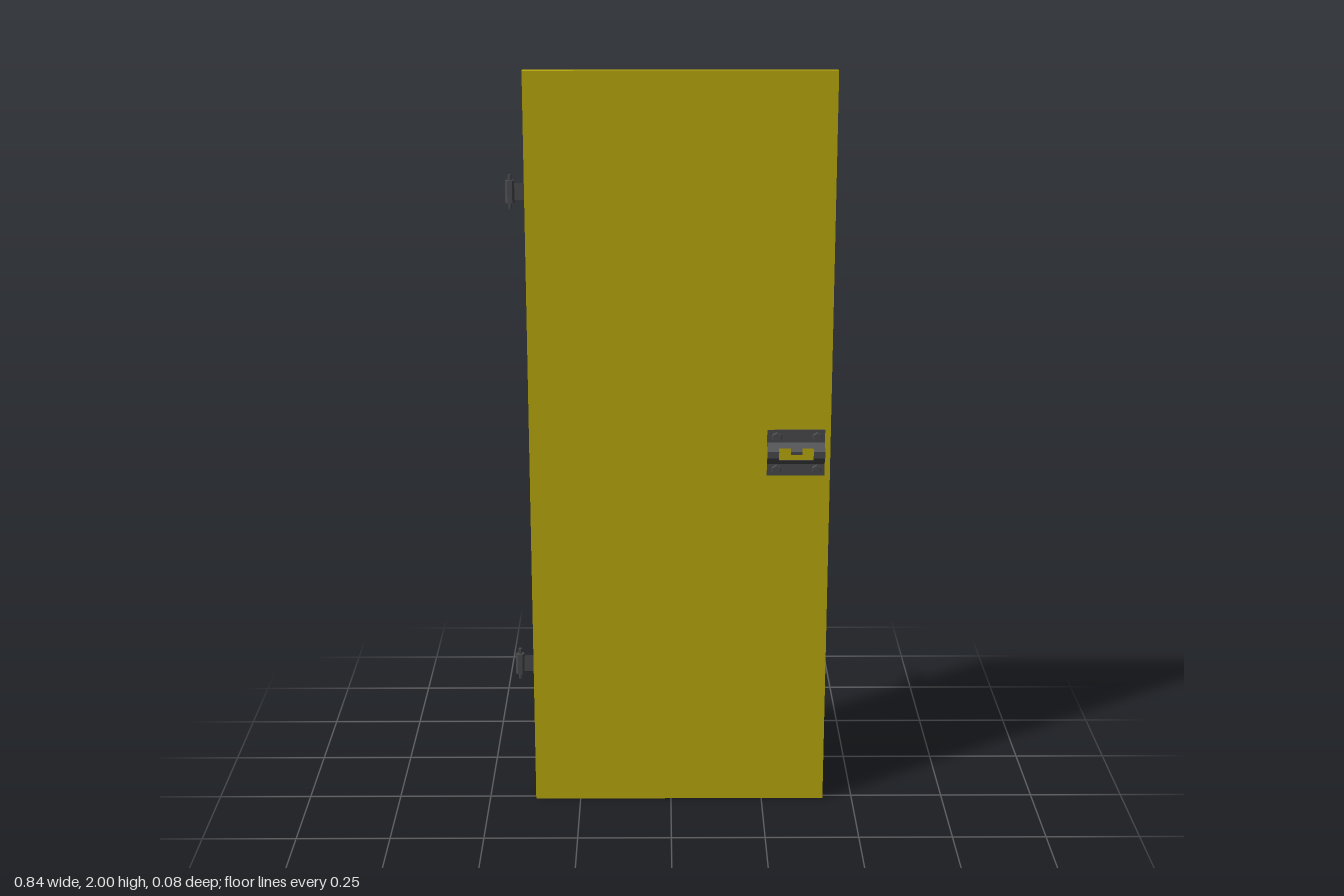
import * as THREE from 'three';

const paint = new THREE.MeshStandardMaterial({ color: 0xb8a80c });
const metal = new THREE.MeshStandardMaterial({ color: 0x48494b });
const BACK = -0.007, FRONT = 0.016;

function add(parent, name, geometry, x, y, z, material = metal) {
  const mesh = new THREE.Mesh(geometry, material);
  mesh.name = name;
  mesh.position.set(x, y, z);
  parent.add(mesh);
  return mesh;
}

function box(parent, name, x0, x1, y0, y1, z0, z1, material) {
  return add(parent, name, new THREE.BoxGeometry(x1 - x0, y1 - y0, z1 - z0),
    (x0 + x1) / 2, (y0 + y1) / 2, (z0 + z1) / 2, material);
}

// Bent metal strip: outer profile given as [height off the door, y], swept from x0 to x1
function strip(parent, name, profile, x0, x1, thickness, y, z, side) {
  const outer = profile.map(([h, v]) => new THREE.Vector2(h * side, v));
  const inner = profile.map(([h, v]) => new THREE.Vector2((h - thickness) * side, v)).reverse();
  const geometry = new THREE.ExtrudeGeometry(new THREE.Shape([...outer, ...inner]),
    { depth: x1 - x0, bevelEnabled: false });
  geometry.rotateY(-Math.PI / 2);
  return add(parent, name, geometry, x1, y, z);
}

// Hexagonal bolt head standing on the door face
function bolt(parent, x, y, z, side, radius = 0.011, height = 0.007) {
  const geometry = new THREE.CylinderGeometry(radius * 0.85, radius, height, 6).toNonIndexed();
  geometry.computeVertexNormals();
  geometry.rotateX(side * Math.PI / 2);
  add(parent, 'bolt', geometry, x, y, z + side * height / 2);
}

function hexRod(parent, name, radius, height, x, y, z) {
  const geometry = new THREE.CylinderGeometry(radius, radius, height, 6).toNonIndexed();
  geometry.computeVertexNormals();
  geometry.rotateY(Math.PI / 6);
  add(parent, name, geometry, x, y, z);
}

function createHinge(y) {
  const hinge = new THREE.Group();
  hinge.name = 'hinge';
  hinge.position.y = y;
  // Clamp plate with a raised middle over the tongue
  strip(hinge, 'hingePlate', [[0.003, -0.061], [0.003, -0.036], [0.013, -0.026],
    [0.013, 0.026], [0.003, 0.036], [0.003, 0.061]], -0.369, -0.327, 0.003, 0, BACK, -1);
  for (const v of [-0.048, 0.048]) bolt(hinge, -0.348, v, BACK - 0.003, -1, 0.011, 0.006);
  bolt(hinge, -0.348, 0, BACK - 0.013, -1, 0.012, 0.005);
  // Tongue reaching out to the pin
  box(hinge, 'hingeTongue', -0.41, -0.34, -0.022, 0.022, -0.021, -0.018);
  hexRod(hinge, 'hingeBarrel', 0.0125, 0.058, -0.411, 0, -0.02);
  hexRod(hinge, 'hingePin', 0.005, 0.088, -0.411, 0, -0.02);
  return hinge;
}

function createHandle() {
  const handle = new THREE.Group();
  handle.name = 'handle';
  strip(handle, 'handleBar', [[0.003, -0.095], [0.003, -0.076], [0.033, -0.062],
    [0.033, 0.062], [0.003, 0.076], [0.003, 0.095]], 0.345, 0.369, 0.005, 1, BACK, -1);
  for (const v of [0.914, 1.086]) bolt(handle, 0.357, v, BACK - 0.003, -1, 0.009, 0.005);
  return handle;
}

function createLatch() {
  const latch = new THREE.Group();
  latch.name = 'latch';
  const t = 0.004;
  // Flanges with their sloping shoulders
  strip(latch, 'lowerFlange', [[t, 0.94], [t, 0.972], [0.015, 0.985]], 0.253, 0.405, t, 0, FRONT, 1);
  strip(latch, 'upperFlange', [[0.015, 1.018], [t, 1.031], [t, 1.065]], 0.253, 0.405, t, 0, FRONT, 1);
  // Bridges either side of the slot
  const arch = [[0.015, 0.985], [0.022, 0.993], [0.022, 1.01], [0.015, 1.018]];
  for (const [a, b] of [[0.253, 0.284], [0.375, 0.405]]) strip(latch, 'bridge', arch, a, b, t, 0, FRONT, 1);
  // Tab hanging into the slot
  strip(latch, 'slotTab', [[0.022, 1.002], [0.022, 1.01], [0.015, 1.018]], 0.315, 0.345, t, 0, FRONT, 1);
  for (const x of [0.278, 0.384]) for (const y of [0.957, 1.046]) bolt(latch, x, y, FRONT + t, 1, 0.014, 0.008);
  return latch;
}

export function createModel() {
  const door = new THREE.Group();
  door.name = 'door';
  box(door, 'doorPanel', -0.373, 0.42, 0, 2, BACK, FRONT, paint);
  for (const y of [0.39, 1.69]) door.add(createHinge(y));
  door.add(createHandle(), createLatch());
  return door;
}
